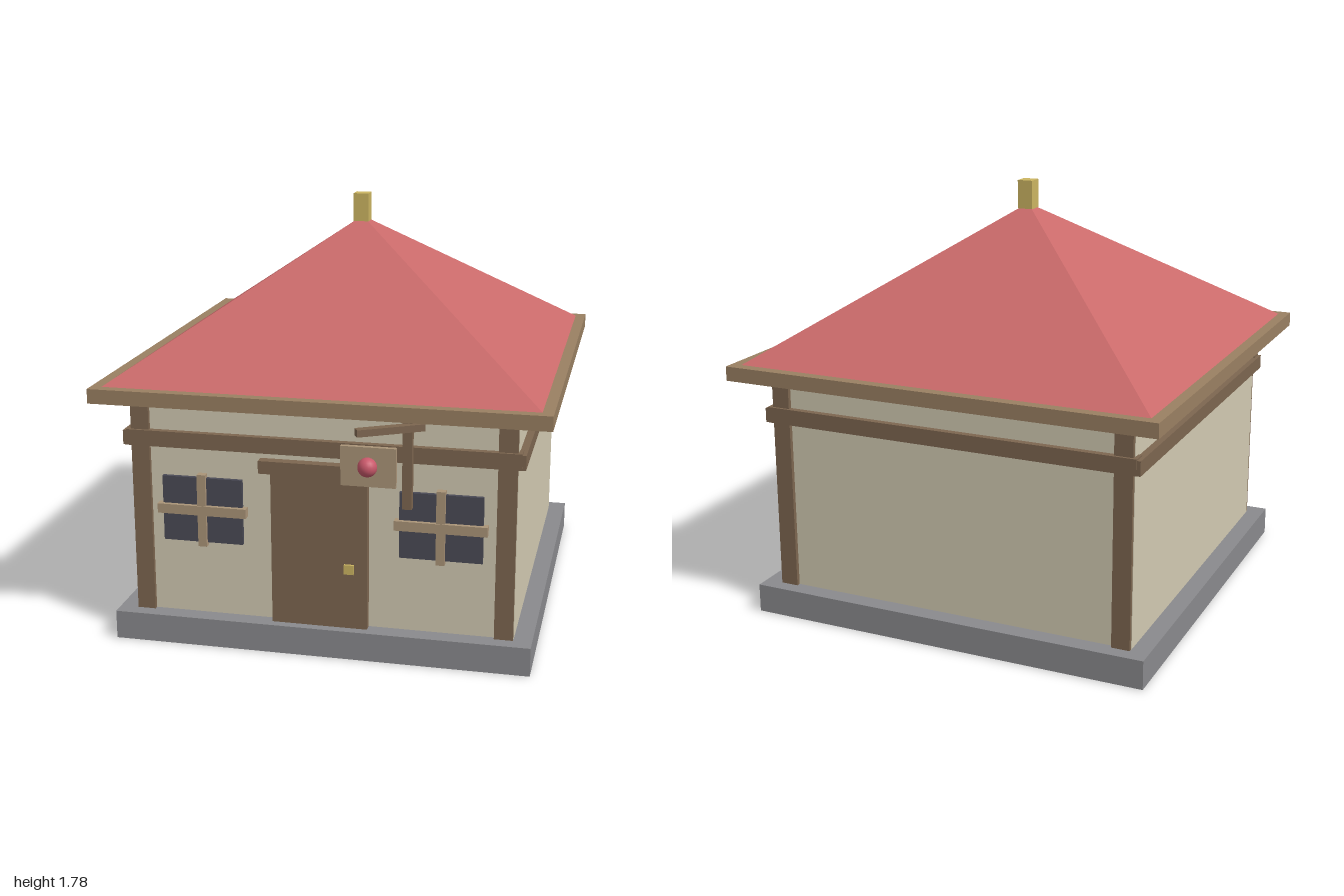
import * as THREE from 'three';

const mat = (color) => new THREE.MeshStandardMaterial({ color });

export function createModel() {
  const house = new THREE.Group();
  house.name = 'house';
  const wood = mat(0x7d6650), trim = mat(0x9a8062), lightWood = mat(0xaa9478);
  const stone = mat(0x8a8a8d), plaster = mat(0xd2cab2), glass = mat(0x4a4a55);
  const red = mat(0xc96a6a), gold = mat(0xccb562), coral = mat(0xc8586a);

  const add = (name, geometry, material, x, y, z, parent = house) => {
    const mesh = new THREE.Mesh(geometry, material);
    mesh.name = name;
    mesh.position.set(x, y, z);
    parent.add(mesh);
    return mesh;
  };
  // Box given by its minimum and maximum along each axis
  const box = (name, material, x0, x1, y0, y1, z0, z1, parent) =>
    add(name, new THREE.BoxGeometry(x1 - x0, y1 - y0, z1 - z0), material,
      (x0 + x1) / 2, (y0 + y1) / 2, (z0 + z1) / 2, parent);

  const zc = -0.07; // middle of the building

  // Foundation and walls
  box('foundation', stone, -0.865, 0.865, 0, 0.12, zc - 0.87, zc + 0.87);
  box('walls', plaster, -0.79, 0.79, 0.12, 1.03, zc - 0.795, zc + 0.795);

  // Corner posts and the beams around the walls
  for (const sx of [-1, 1]) {
    for (const sz of [-1, 1]) {
      add('cornerPost', new THREE.BoxGeometry(0.076, 0.91, 0.08), wood,
        sx * 0.75, 0.575, zc + sz * 0.772);
    }
    add('sideBeam', new THREE.BoxGeometry(0.06, 0.06, 1.64), wood, sx * 0.79, 0.867, zc);
  }
  for (const sz of [-1, 1]) {
    add('crossBeam', new THREE.BoxGeometry(1.61, 0.066, 0.06), wood, 0, 0.87, zc + sz * 0.793);
  }

  // Eaves, pyramid roof and finial
  box('eaves', trim, -0.925, 0.925, 1.03, 1.09, -1, 0.85);
  const pyramid = new THREE.ConeGeometry(0.88 * Math.SQRT2, 0.59, 4, 1).rotateY(Math.PI / 4).toNonIndexed();
  pyramid.computeVertexNormals();
  add('roof', pyramid, red, 0, 1.385, -0.075);
  box('finial', gold, -0.033, 0.033, 1.66, 1.78, -0.108, -0.042);

  // Door
  const door = new THREE.Group();
  door.name = 'door';
  house.add(door);
  box('doorPanel', wood, -0.198, 0.198, -0.001, 0.76, 0.715, 0.762, door);
  box('lintel', wood, -0.247, 0.247, 0.757, 0.81, 0.715, 0.768, door);
  box('doorKnob', gold, 0.105, 0.145, 0.357, 0.397, 0.75, 0.773, door);

  // Windows
  for (const sx of [-1, 1]) {
    const win = new THREE.Group();
    win.name = 'window';
    win.position.set(sx * 0.492, 0.574, 0);
    house.add(win);
    box('pane', glass, -0.168, 0.168, -0.138, 0.138, 0.71, 0.742, win);
    box('uprightBar', lightWood, -0.018, 0.018, -0.153, 0.155, 0.72, 0.756, win);
    box('crossBar', lightWood, -0.187, 0.187, -0.018, 0.022, 0.72, 0.76, win);
  }

  // Hanging sign
  const sign = new THREE.Group();
  sign.name = 'sign';
  house.add(sign);
  box('signPost', wood, 0.352, 0.39, 0.675, 1.03, 0.803, 0.836, sign);
  const arm = add('signArm', new THREE.BoxGeometry(0.274, 0.028, 0.035), wood, 0.313, 1.01, 0.883, sign);
  arm.rotation.y = Math.PI / 6;
  box('signBoard', lightWood, 0.135, 0.35, 0.8, 0.957, 0.937, 0.957, sign);
  add('signBall', new THREE.SphereGeometry(0.038, 20, 14), coral, 0.241, 0.88, 0.962, sign);

  return house;
}
